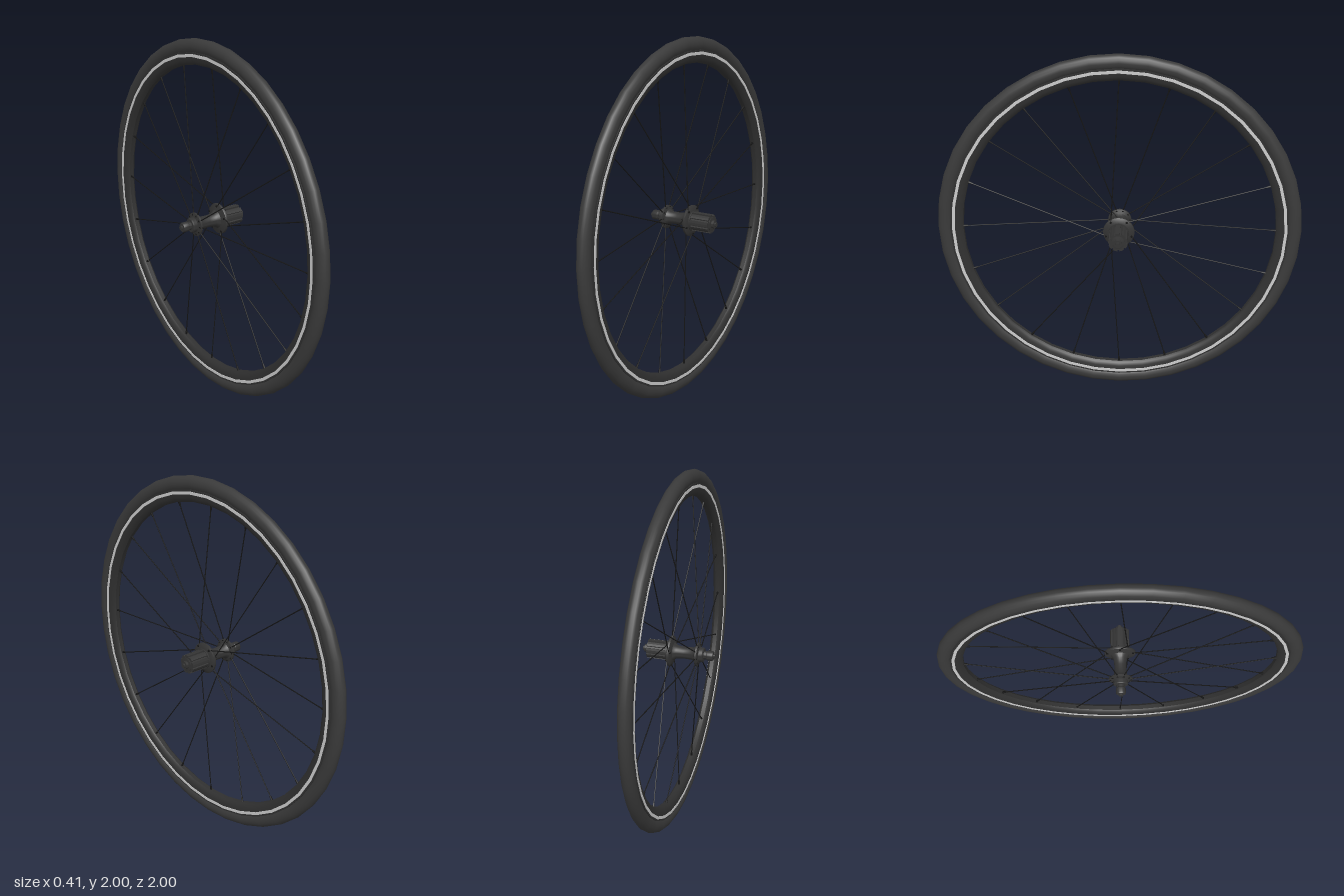
import * as THREE from 'three';
import { toCreasedNormals } from 'three/addons/utils/BufferGeometryUtils.js';

const mat = (color) => new THREE.MeshStandardMaterial({ color });
const RUBBER = mat(0x3a3a3a), RIM = mat(0x303030), SILVER = mat(0xcccccc);
const HUB = mat(0x333333), SPOKE = mat(0x161616);

// Surface of revolution about the x axis; profile points are [radius, x], outside running towards +x
function turned(name, profile, segments, material, crease = 0.6) {
  const geo = new THREE.LatheGeometry(profile.map(([r, x]) => new THREE.Vector2(r, x)), segments);
  geo.rotateZ(-Math.PI / 2);
  const mesh = new THREE.Mesh(toCreasedNormals(geo, crease), material);
  mesh.name = name;
  return mesh;
}

// Point on the wheel: angle from the top towards +z
const polar = (r, a, x) => new THREE.Vector3(x, r * Math.cos(a), r * Math.sin(a));

// Thin round bar between two points
function rod(name, a, b, r0, r1, material) {
  const dir = b.clone().sub(a);
  const mesh = new THREE.Mesh(new THREE.CylinderGeometry(r1, r0, dir.length(), 6), material);
  mesh.position.copy(a).add(b).multiplyScalar(0.5);
  mesh.quaternion.setFromUnitVectors(new THREE.Vector3(0, 1, 0), dir.normalize());
  mesh.name = name;
  return mesh;
}

// Splined freehub body: a round bar with shallow grooves
function freehub() {
  const shape = new THREE.Shape();
  const n = 9, step = (Math.PI * 2) / n;
  for (let i = 0; i < n; i++) {
    [[0.053, 0], [0.053, 0.33], [0.053, 0.65], [0.045, 0.7], [0.045, 0.95]].forEach(([r, t], j) => {
      const a = (i + t) * step;
      shape[i + j === 0 ? 'moveTo' : 'lineTo'](r * Math.cos(a), r * Math.sin(a));
    });
  }
  const geo = new THREE.ExtrudeGeometry(shape, { depth: 0.112, bevelEnabled: false });
  geo.rotateY(Math.PI / 2).translate(0.063, 0, 0);
  const mesh = new THREE.Mesh(geo, HUB);
  mesh.name = 'freehubBody';
  return mesh;
}

export function createModel() {
  const wheel = new THREE.Group();
  wheel.name = 'bicycleWheel';
  const axle = new THREE.Group();
  axle.name = 'wheelAssembly';
  axle.position.y = 1;
  wheel.add(axle);

  // Tyre: rounded section, slightly taller than wide
  const tyre = [];
  for (let i = 0; i <= 16; i++) {
    const a = (i / 16) * Math.PI * 2;
    tyre.push([0.958 + 0.042 * Math.cos(a), 0.036 * Math.sin(a)]);
  }
  axle.add(turned('tyre', tyre, 40, RUBBER, 1));

  // Rim: tapered box section with a rounded inner face
  axle.add(turned('rim', [
    [0.86, 0.012], [0.86, -0.012], [0.868, -0.022], [0.885, -0.029], [0.906, -0.031], [0.93, -0.031],
    [0.93, 0.031], [0.906, 0.031], [0.885, 0.029], [0.868, 0.022], [0.86, 0.012],
  ], 40, RIM));

  // Bright ring along each side of the rim
  for (const [name, s] of [['rimBandLeft', 1], ['rimBandRight', -1]]) {
    const band = [[0.92, s * 0.028], [0.92, s * 0.0335], [0.904, s * 0.0335], [0.904, s * 0.028]];
    axle.add(turned(name, s > 0 ? band : band.reverse(), 40, SILVER));
  }

  // Hub shell with both flanges
  axle.add(turned('hubShell', [
    [0, -0.143], [0.036, -0.143], [0.041, -0.138], [0.041, -0.118], [0.065, -0.112], [0.065, -0.102],
    [0.044, -0.094], [0.035, -0.08], [0.033, -0.03], [0.037, 0.01], [0.05, 0.028], [0.084, 0.038],
    [0.086, 0.042], [0.086, 0.05], [0.082, 0.053], [0.056, 0.058], [0.056, 0.066], [0, 0.066],
  ], 32, HUB));
  axle.add(freehub());

  // Axle ends
  axle.add(turned('axleEndRight', [
    [0, -0.205], [0.012, -0.205], [0.012, -0.195], [0.024, -0.195], [0.027, -0.19],
    [0.027, -0.162], [0.023, -0.158], [0.023, -0.14], [0, -0.14],
  ], 24, HUB));
  axle.add(turned('axleEndLeft', [
    [0, 0.165], [0.038, 0.165], [0.038, 0.179], [0.022, 0.181], [0.022, 0.195],
    [0.012, 0.195], [0.012, 0.205], [0, 0.205],
  ], 24, HUB));

  // Spokes: even ones cross in pairs on the +x flange, odd ones run straight to the -x flange
  const spokes = new THREE.Group();
  spokes.name = 'spokes';
  axle.add(spokes);
  for (let k = 0; k < 20; k++) {
    const a = (k / 20) * Math.PI * 2;
    const crossed = k % 2 === 0;
    const lean = crossed ? (k % 4 === 0 ? 1 : -1) * Math.PI / 5 : 0;
    const x = crossed ? 0.045 + Math.sign(lean) * 0.006 : -0.107;
    const inner = polar(crossed ? 0.074 : 0.055, a + lean, x);
    const outer = polar(0.868, a, 0);
    spokes.add(rod('spoke', inner, outer, 0.003, 0.003, SPOKE));
    const neck = outer.clone().lerp(inner, 0.04);
    spokes.add(rod('spokeNipple', neck, outer, 0.005, 0.007, SPOKE));
    // Spoke head seated in the flange
    const out = new THREE.Vector3(0.009, 0, 0);
    spokes.add(rod('spokeHead', inner.clone().sub(out), inner.clone().add(out), 0.006, 0.006, SPOKE));
  }
  return wheel;
}
